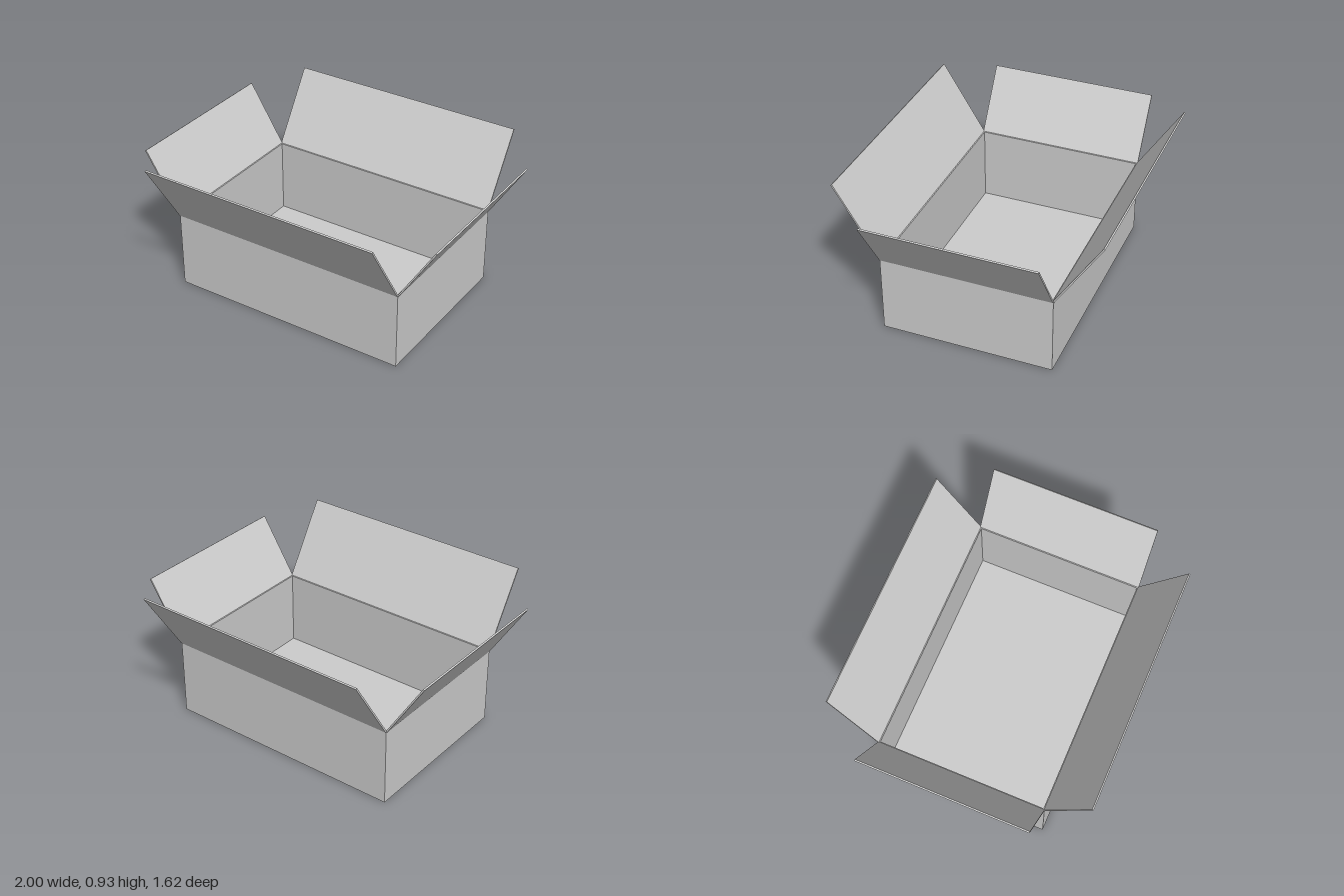
import * as THREE from 'three';

const X = 0.763, Z = 0.53, H = 0.49, T = 0.01;

function rect(w, d) {
  return [[-w, -d], [w, -d], [w, d], [-w, d]].map(([x, y]) => new THREE.Vector2(x, y));
}

export function createModel() {
  const group = new THREE.Group();
  const material = new THREE.MeshStandardMaterial({ color: 0xcccccc, flatShading: true });

  const add = (name, geometry) => {
    const mesh = new THREE.Mesh(geometry, material);
    mesh.name = name;
    group.add(mesh);
    return mesh;
  };

  // Four thin walls as one upright frame
  const frame = new THREE.Shape(rect(X, Z));
  frame.holes.push(new THREE.Path(rect(X - T, Z - T)));
  add('walls', new THREE.ExtrudeGeometry(frame, { depth: H, bevelEnabled: false }).rotateX(-Math.PI / 2));

  // Bottom panel between the walls
  add('floor', new THREE.BoxGeometry(2 * (X - T), T, 2 * (Z - T)).translate(0, T / 2, 0));

  // Open flaps: hinge distance, tip distance and height, width, turn about y
  const flaps = [
    ['frontFlap', Z, 0.805, 0.932, 2 * X, 0],
    ['leftFlap', X, 0.991, 0.852, 2 * Z, Math.PI / 2],
    ['backFlap', Z, 0.808, 0.922, 2 * X, Math.PI],
    ['rightFlap', X, 0.996, 0.862, 2 * Z, -Math.PI / 2],
  ];
  for (const [name, hinge, tip, top, width, turn] of flaps) {
    const out = tip - hinge, up = top - H, length = Math.hypot(out, up);
    const geometry = new THREE.BoxGeometry(width, length, T)
      .translate(0, length / 2, 0)
      .rotateX(Math.atan2(out, up))
      .translate(0, H, hinge);
    add(name, geometry).rotation.y = turn;
  }
  return group;
}
